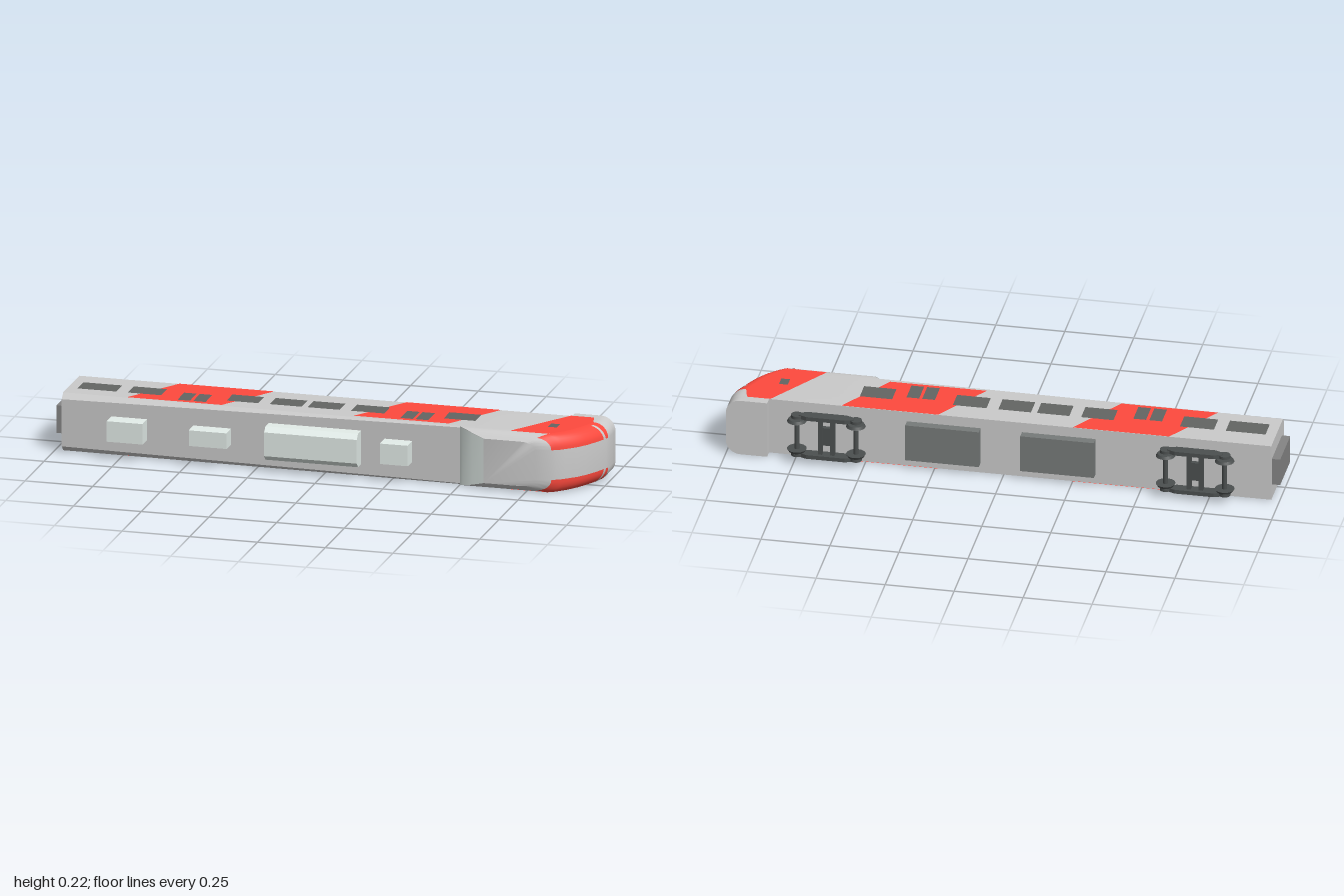
import * as THREE from 'three';
import { toCreasedNormals } from 'three/addons/utils/BufferGeometryUtils.js';

const mat = (color, side = THREE.FrontSide) => new THREE.MeshStandardMaterial({ color, side });
const GREY = mat(0xcccccc), PALE = mat(0xe4eeea), DARK = mat(0x4c5050), BOX = mat(0x777b7a), RUBBER = mat(0x858585);
const RED = mat(0xff4a3e, THREE.DoubleSide), GLASS = mat(0x646664, THREE.DoubleSide);
const STRIPE = mat(0xcccccc, THREE.DoubleSide), RAMP = mat(0xe4eeea, THREE.DoubleSide);

const W = 0.1075; // half width; the vehicle lies on its side, so width runs along y and the roof faces +z

function add(parent, name, geometry, material, x = 0, y = 0, z = 0) {
  const mesh = new THREE.Mesh(geometry, material);
  mesh.name = name;
  mesh.position.set(x, y, z);
  parent.add(mesh);
  return mesh;
}

// Skin between rows of points; closed rows get end caps
function skin(rows, closed, crease = 0.5) {
  const pos = [], n = rows[0].length;
  const tri = (a, b, c) => pos.push(...a, ...b, ...c);
  for (let k = 0; k < rows.length - 1; k++)
    for (let i = 0; i < (closed ? n : n - 1); i++) {
      const j = (i + 1) % n;
      tri(rows[k][i], rows[k][j], rows[k + 1][j]);
      tri(rows[k][i], rows[k + 1][j], rows[k + 1][i]);
    }
  if (closed) {
    const a = rows[0], b = rows[rows.length - 1];
    for (let i = 1; i < n - 1; i++) {
      tri(a[0], a[i + 1], a[i]);
      tri(b[0], b[i], b[i + 1]);
    }
  }
  const g = new THREE.BufferGeometry();
  g.setAttribute('position', new THREE.Float32BufferAttribute(pos, 3));
  return toCreasedNormals(g, crease);
}

// Linear lookup in a table of [z, value]
function lookup(table, z) {
  let i = 1;
  while (i < table.length - 1 && z > table[i][0]) i++;
  const [a, b] = [table[i - 1], table[i]];
  return THREE.MathUtils.lerp(a[1], b[1], THREE.MathUtils.clamp((z - a[0]) / (b[0] - a[0]), 0, 1));
}

const frontX = z => lookup([[-0.06, 1], [-0.04, 0.994], [-0.013, 0.983], [0.02, 0.968], [0.056, 0.949],
  [0.09, 0.925], [0.115, 0.9], [0.137, 0.876], [0.155, 0.845], [0.169, 0.79]], z);
const halfW = z => lookup([[0.135, W], [0.152, 0.0985], [0.169, 0.0825]], z);
const backX = z => lookup([[0.125, 0.5], [0.137, 0.515], [0.155, 0.555], [0.169, 0.6]], z);

// Point on the rounded front corner of the nose, t = 0 on the flat front, 1 on the side
function corner(t, z, s, e = 0) {
  const a = t * Math.PI / 2;
  return [frontX(z) - 0.053 + (0.053 + e) * Math.cos(a), s * (0.055 + (halfW(z) - 0.055 + e) * Math.sin(a)), z];
}
const STEPS = [0, 1, 2, 3, 4, 5, 6, 7, 8].map(i => i / 8);
const noseRing = (z, xb) => [[xb, -halfW(z), z], ...STEPS.map(t => corner(1 - t, z, -1)),
  ...STEPS.map(t => corner(t, z, 1)), [xb, halfW(z), z]];

// Flat panel on one side wall, outline given as [x, z]
function sidePanel(parent, name, outline, material, s, lift) {
  const g = new THREE.ShapeGeometry(new THREE.Shape(outline.map(([x, z]) => new THREE.Vector2(x, -z))));
  g.rotateX(-Math.PI / 2);
  add(parent, name, g, material, 0, s * (W + lift), 0);
}
const rect = (x0, x1, z0, z1) => [[x0, z0], [x1, z0], [x1, z1], [x0, z1]];

// Box on the roof with its sides sloping in towards the top
function roofBox(parent, x0, x1, h, inset) {
  const ring = (z, hw) => [[x0, -hw, z], [x1, -hw, z], [x1, hw, z], [x0, hw, z]];
  add(parent, 'roofUnit', skin([ring(0.12, h), ring(0.168, h), ring(0.185, h - inset)], true, 0.1), PALE);
}

function makeBogie() {
  const bogie = new THREE.Group();
  bogie.name = 'bogie';
  const zc = -0.15, spread = 0.107;
  for (const dx of [-spread, spread]) {
    add(bogie, 'axle', new THREE.CylinderGeometry(0.009, 0.009, 0.15, 12), DARK, dx, 0, zc);
    for (const s of [-1, 1]) {
      const wheel = new THREE.CylinderGeometry(0.029, 0.035, 0.01, 24);
      if (s < 0) wheel.rotateX(Math.PI);
      add(bogie, 'wheel', wheel, DARK, dx, s * 0.06, zc);
      add(bogie, 'axleBox', new THREE.CylinderGeometry(0.021, 0.021, 0.011, 16), DARK, dx, s * 0.0755, zc);
    }
  }
  // Side frames with narrowing ends
  const frame = new THREE.Shape([[-0.1, -0.008], [-0.07, -0.02], [0.07, -0.02], [0.1, -0.008], [0.1, 0.008],
    [0.07, 0.02], [-0.07, 0.02], [-0.1, 0.008]].map(p => new THREE.Vector2(...p)));
  const frameGeo = new THREE.ExtrudeGeometry(frame, { depth: 0.015, bevelEnabled: false });
  frameGeo.translate(0, 0, -0.0075).rotateX(-Math.PI / 2);
  for (const s of [-1, 1]) {
    add(bogie, 'sideFrame', frameGeo, DARK, 0, s * 0.0765, zc);
    add(bogie, 'crossBeam', new THREE.BoxGeometry(0.016, 0.15, 0.018), DARK, s * 0.022, 0, -0.148);
  }
  add(bogie, 'bolster', new THREE.BoxGeometry(0.05, 0.07, 0.016), DARK, 0, 0, -0.142);
  add(bogie, 'pivot', new THREE.CylinderGeometry(0.015, 0.015, 0.036, 16).rotateX(Math.PI / 2), DARK, 0, 0, -0.12);
  return bogie;
}

export function createModel() {
  const root = new THREE.Group();
  root.name = 'railCar';
  const car = new THREE.Group();
  car.name = 'carriage';
  car.position.y = W;
  root.add(car);

  // Main body with roof edge chamfers that fade towards the nose
  const bodyRing = (x, c) => [[x, -W, -0.105], [x, W, -0.105], [x, W, 0.126 - c], [x, W - c, 0.126],
    [x, c - W, 0.126], [x, -W, 0.126 - c]];
  add(car, 'body', skin([bodyRing(-0.97, 0.02), bodyRing(0.51, 0.004)], true, 0.1), GREY);
  add(car, 'rearGangway', new THREE.BoxGeometry(0.03, 0.102, 0.182), RUBBER, -0.985, 0, -0.003);

  // Nose and front skirt
  const levels = [-0.105, -0.06, -0.04, -0.013, 0.02, 0.056, 0.09, 0.115, 0.126, 0.137, 0.146, 0.155, 0.162, 0.169];
  add(car, 'nose', skin(levels.map(z => noseRing(z, backX(z))), true), GREY);
  add(car, 'frontSkirt', skin([noseRing(-0.139, 0.85), noseRing(-0.104, 0.85)], true), GREY);
  add(car, 'noseRamp', skin([0.126, 0.137, 0.155, 0.169].map(z => [-1, 1].map(
    s => [backX(z) - 0.001, s * halfW(z), z + 0.001])), false), RAMP);

  for (const s of [-1, 1]) {
    // Red front corners with a slanted stripe
    const reds = [-0.05, ...levels.filter(z => z > -0.05 && z < 0.16)];
    add(car, 'cornerPanel', skin(reds.map(z => STEPS.map(t => corner(t, z, s, 0.001))), false), RED);
    add(car, 'cornerStripe', skin([0, 0.011].map(d => STEPS.map(
      t => corner(t * 0.8, -0.035 + t * 0.013 + d, s, 0.002))), false), STRIPE);

    // Red side panels
    const noseEdge = [-0.05, -0.04, -0.013, 0.02, 0.056, 0.09, 0.115, 0.132].map(z => [frontX(z) - 0.053, z]);
    sidePanel(car, 'nosePanel', [[0.845, -0.105], [0.93, -0.105], ...noseEdge, [0.688, 0.132], [0.7, 0.112]], RED, s, 0.001);
    for (const x of [-0.6, 0.238])
      sidePanel(car, 'sidePanel', [[x, -0.105], [x + 0.35, -0.105], [x + 0.215, 0.106], [x - 0.135, 0.106]], RED, s, 0.001);

    // Windows, door windows and the cab window
    for (const [x0, x1] of [[-0.933, -0.789], [-0.746, -0.623], [-0.382, -0.265], [-0.222, -0.105],
      [-0.083, 0.035], [0.078, 0.2], [0.42, 0.537]])
      sidePanel(car, 'window', rect(x0, x1, -0.025, 0.053), GLASS, s, 0.002);
    for (const x of [-0.553, -0.495, 0.27, 0.327])
      sidePanel(car, 'doorWindow', rect(x, x + 0.046, 0, 0.09), GLASS, s, 0.002);
    sidePanel(car, 'cabWindow', rect(0.805, 0.837, 0.01, 0.052), GLASS, s, 0.002);
  }

  // Roof units
  roofBox(car, -0.787, -0.655, 0.039, 0.001);
  roofBox(car, -0.484, -0.345, 0.03, 0.001);
  roofBox(car, -0.206, 0.136, 0.062, 0.018);
  roofBox(car, 0.222, 0.324, 0.039, 0.001);

  // Underfloor equipment and running gear
  for (const x of [-0.2, 0.217])
    add(car, 'underfloorBox', new THREE.BoxGeometry(0.267, 0.14, 0.034), BOX, x, 0, -0.12);
  for (const x of [-0.703, 0.633]) {
    const bogie = makeBogie();
    bogie.position.x = x;
    car.add(bogie);
  }
  return root;
}
